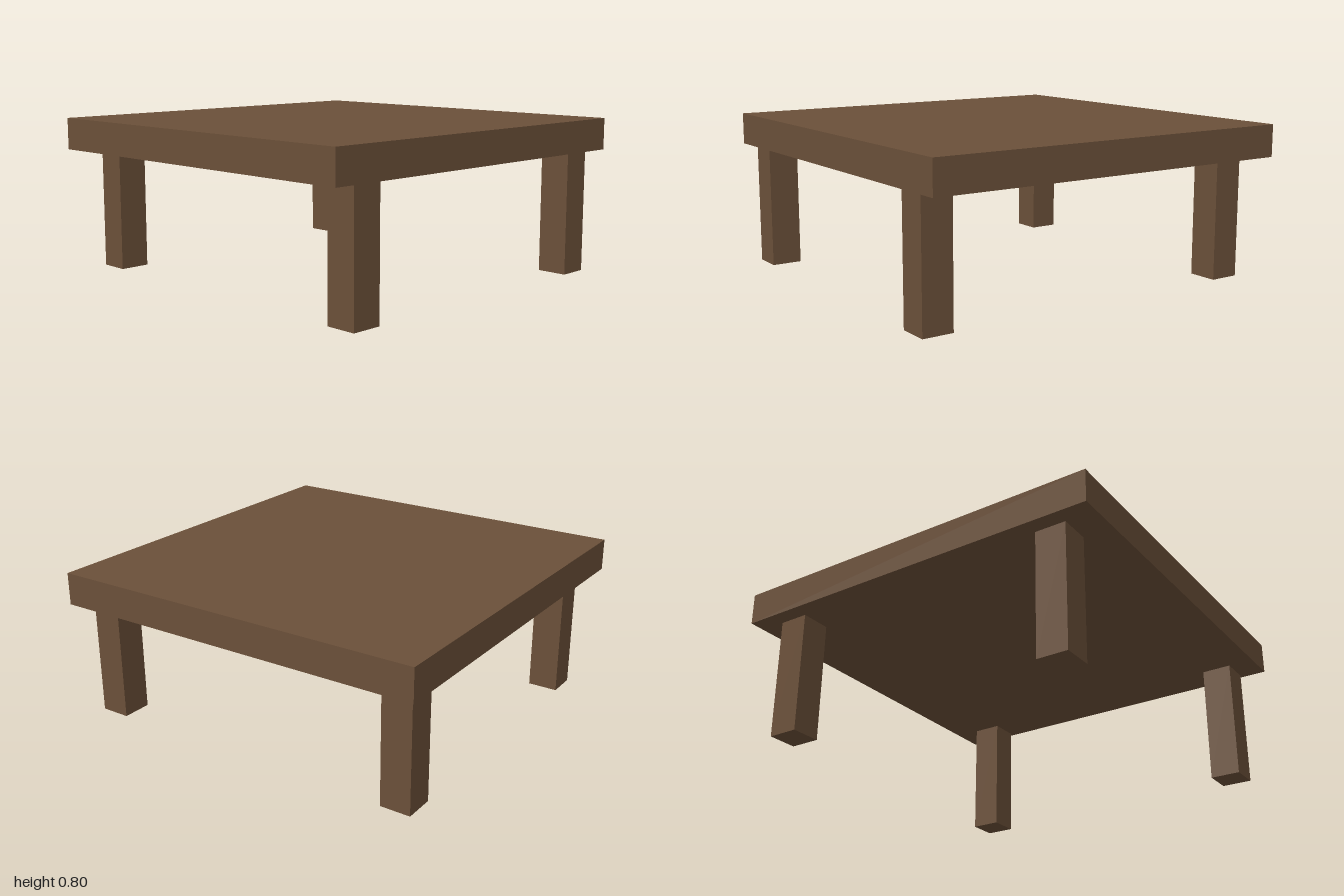
import * as THREE from 'three';

export function createModel() {
  const table = new THREE.Group();
  table.name = 'lowTable';
  const wood = new THREE.MeshStandardMaterial({ color: 0x6b5039, flatShading: true });

  const addBox = (name, size, position) => {
    const mesh = new THREE.Mesh(new THREE.BoxGeometry(...size), wood);
    mesh.name = name;
    mesh.position.set(...position);
    table.add(mesh);
  };

  // Thick square slab
  const height = 0.8, thickness = 0.166;
  addBox('tabletop', [2, thickness, 2], [0, height - thickness / 2, 0]);

  // Square legs, set slightly unevenly under the slab
  const legHeight = height - thickness, legWidth = 0.158;
  const legs = [
    ['frontLeftLeg', 0.783, 0.897],
    ['frontRightLeg', -0.787, 0.897],
    ['backLeftLeg', 0.783, -0.837],
    ['backRightLeg', -0.767, -0.837],
  ];
  for (const [name, x, z] of legs) {
    addBox(name, [legWidth, legHeight, legWidth], [x, legHeight / 2, z]);
  }

  return table;
}
